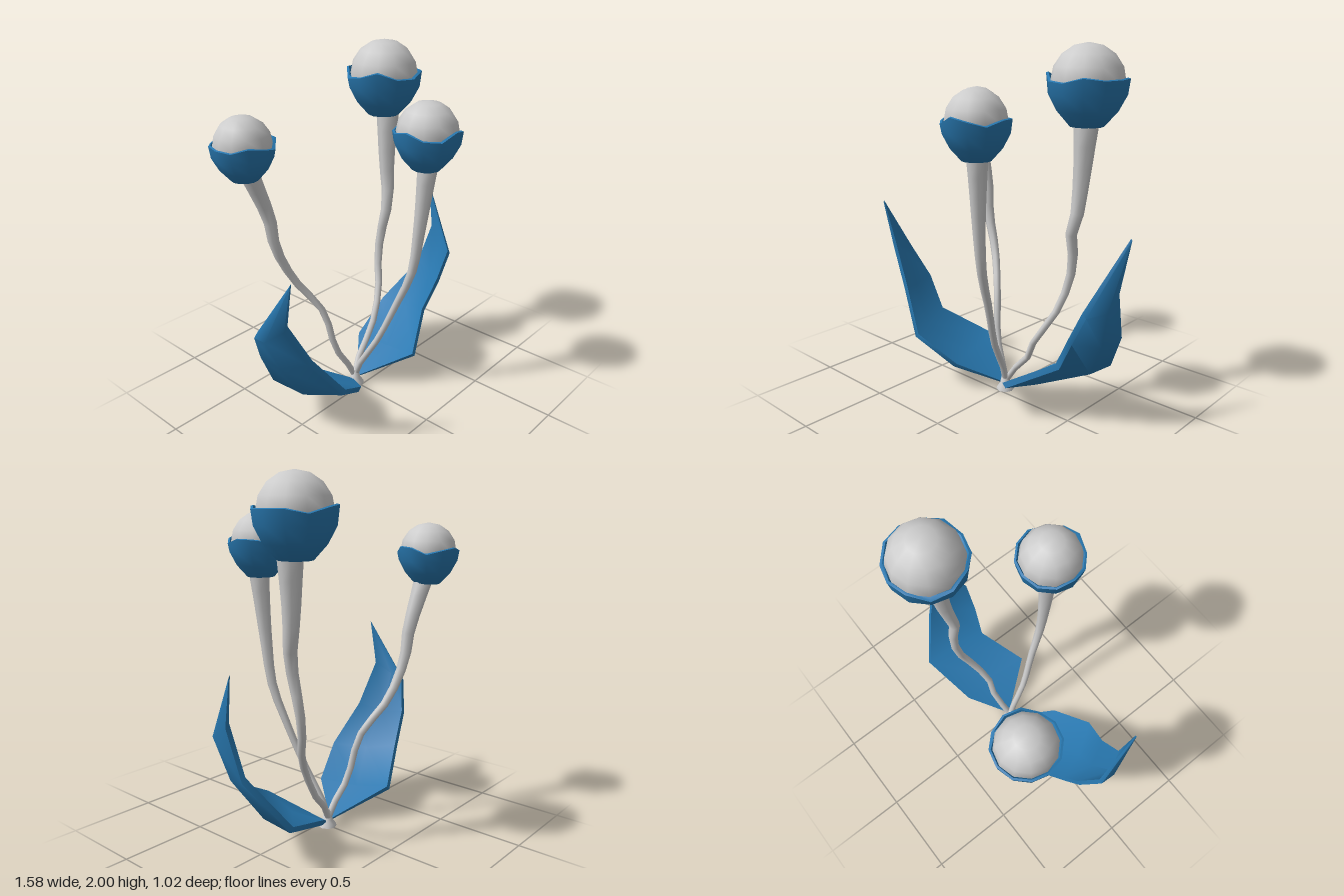
import * as THREE from 'three';
import { toCreasedNormals } from 'three/addons/utils/BufferGeometryUtils.js';

const grey = new THREE.MeshStandardMaterial({ color: 0xcccccc });
const blue = new THREE.MeshStandardMaterial({ color: 0x2878b0, side: THREE.DoubleSide });
const vec = (p) => new THREE.Vector3(...p);

function addMesh(parent, name, geometry, material) {
  const mesh = new THREE.Mesh(geometry, material);
  mesh.name = name;
  parent.add(mesh);
  return mesh;
}

function lathe(profile, segments) {
  return new THREE.LatheGeometry(profile.map(([x, y]) => new THREE.Vector2(x, y)), segments);
}

// Bent tube that flares toward the flower head
function stemGeometry(points, topRadius) {
  const curve = new THREE.CatmullRomCurve3(points.map(vec), false, 'centripetal');
  const rings = 14, sides = 8;
  const geometry = new THREE.TubeGeometry(curve, rings, 1, sides);
  const pos = geometry.attributes.position, v = new THREE.Vector3();
  for (let i = 0; i <= rings; i++) {
    const t = i / rings;
    const centre = curve.getPointAt(t);
    const radius = 0.019 + (topRadius - 0.019) * Math.pow(t, 3);
    for (let j = 0; j <= sides; j++) {
      const k = i * (sides + 1) + j;
      v.fromBufferAttribute(pos, k).sub(centre).multiplyScalar(radius).add(centre);
      pos.setXYZ(k, v.x, v.y, v.z);
    }
  }
  return toCreasedNormals(geometry, 1.2);
}

// Bowl with a wavy rim and a thin inner lip
function cupGeometry(phase) {
  const geometry = lathe([[0, -1], [0.42, -0.96], [0.74, -0.6], [0.95, -0.2], [1, 0.16], [0.94, 0.18], [0.89, 0.08]], 12);
  const pos = geometry.attributes.position;
  for (let i = 0; i < pos.count; i++) {
    if (pos.getY(i) < 0.1) continue;
    const a = Math.atan2(pos.getZ(i), pos.getX(i));
    pos.setY(i, pos.getY(i) + 0.08 * Math.sin(4 * a + phase) + 0.06 * Math.sin(3 * a + 2 * phase));
  }
  return toCreasedNormals(geometry, 0.9);
}

// Thin curved blade lofted between two edges, with a thicker middle
function leafGeometry(base, plusEdge, minusEdge, tip) {
  const side = Math.sign(tip[0]);
  const sections = [[base, base], ...plusEdge.map((p, i) => [p, minusEdge[i]]), [tip, tip]];
  const positions = [], index = [];
  sections.forEach(([p, m], i) => {
    const a = vec(p), b = vec(m);
    const atEnd = i === 0 || i === sections.length - 1;
    const thick = atEnd ? 0.004 : 0.012;
    const sag = atEnd ? 0 : 0.03;
    const mid = a.clone().add(b).multiplyScalar(0.5).add(new THREE.Vector3(side * sag, -sag, 0));
    const offset = new THREE.Vector3(-side * thick, thick, 0);
    const ring = [a.clone().add(offset), mid.clone().add(offset), b.clone().add(offset),
      b.clone().sub(offset), mid.clone().sub(offset), a.clone().sub(offset)];
    if (side < 0) ring.reverse();
    ring.forEach((v) => positions.push(v.x, v.y, v.z));
  });
  const n = 6;
  for (let i = 0; i < sections.length - 1; i++) {
    for (let j = 0; j < n; j++) {
      const a = i * n + j, b = i * n + (j + 1) % n;
      index.push(a, a + n, b + n, a, b + n, b);
    }
  }
  const geometry = new THREE.BufferGeometry();
  geometry.setAttribute('position', new THREE.Float32BufferAttribute(positions, 3));
  geometry.setIndex(index);
  return toCreasedNormals(geometry, 1);
}

const flowers = [
  { name: 'rightFlower', head: [-0.51, 1.555, -0.345], r: 0.172, phase: 0.4,
    stem: [[0, 0.05, -0.05], [-0.03, 0.12, -0.06], [-0.11, 0.27, -0.1], [-0.16, 0.53, -0.15], [-0.28, 0.75, -0.26],
      [-0.37, 0.97, -0.3], [-0.39, 1.13, -0.31], [-0.49, 1.42, -0.335]] },
  { name: 'frontFlower', head: [0.14, 1.61, 0.325], r: 0.182, phase: 1.9,
    stem: [[0, 0.05, -0.05], [0.01, 0.14, -0.02], [0.04, 0.34, 0.09], [0.09, 0.6, 0.19], [0.12, 0.82, 0.27],
      [0.13, 1.05, 0.3], [0.15, 1.46, 0.33]] },
  { name: 'tallFlower', head: [0.42, 1.785, -0.2], r: 0.215, phase: 3.3,
    stem: [[0, 0.05, -0.05], [0.02, 0.11, -0.06], [0.12, 0.2, -0.08], [0.2, 0.36, -0.07], [0.3, 0.53, -0.12],
      [0.35, 0.7, -0.17], [0.38, 0.86, -0.17], [0.385, 1, -0.14], [0.41, 1.1, -0.15], [0.42, 1.3, -0.17],
      [0.435, 1.6, -0.18]] },
];

const leaves = [
  { name: 'leftLeaf', base: [0.02, 0.03, -0.05], tip: [0.78, 1.06, -0.11],
    plus: [[0.23, 0.2, 0.22], [0.49, 0.35, 0.09], [0.59, 0.53, 0.12], [0.68, 0.7, 0.13]],
    minus: [[0.24, 0.16, -0.22], [0.56, 0.26, -0.29], [0.725, 0.53, -0.13], [0.75, 0.8, -0.05]] },
  { name: 'rightLeaf', base: [-0.02, 0.03, -0.05], tip: [-0.74, 1.07, 0.22],
    plus: [[-0.2, 0.16, 0.17], [-0.43, 0.31, 0.26], [-0.6, 0.55, 0.19], [-0.73, 0.8, 0.16]],
    minus: [[-0.31, 0.19, -0.25], [-0.6, 0.33, -0.095], [-0.69, 0.53, -0.08], [-0.78, 0.72, -0.01]] },
];

export function createModel() {
  const model = new THREE.Group();
  model.name = 'plant';

  // Flared foot where the stems meet
  const foot = lathe([[0, 0], [0.052, 0], [0.048, 0.015], [0.03, 0.04], [0.018, 0.1], [0, 0.11]], 8);
  addMesh(model, 'foot', toCreasedNormals(foot, 0.9), grey).position.z = -0.045;

  // Flowers: stem, cup and round bud
  for (const f of flowers) {
    const flower = new THREE.Group();
    flower.name = f.name;
    addMesh(flower, 'stem', stemGeometry(f.stem, f.r * 0.31), grey);
    const head = new THREE.Group();
    head.name = 'head';
    head.position.set(...f.head);
    head.scale.setScalar(f.r);
    addMesh(head, 'cup', cupGeometry(f.phase), blue);
    addMesh(head, 'bud', new THREE.SphereGeometry(0.9, 12, 8), grey).position.y = 0.1;
    flower.add(head);
    model.add(flower);
  }

  // Two arching leaves
  for (const l of leaves) addMesh(model, l.name, leafGeometry(l.base, l.plus, l.minus, l.tip), blue);

  return model;
}
